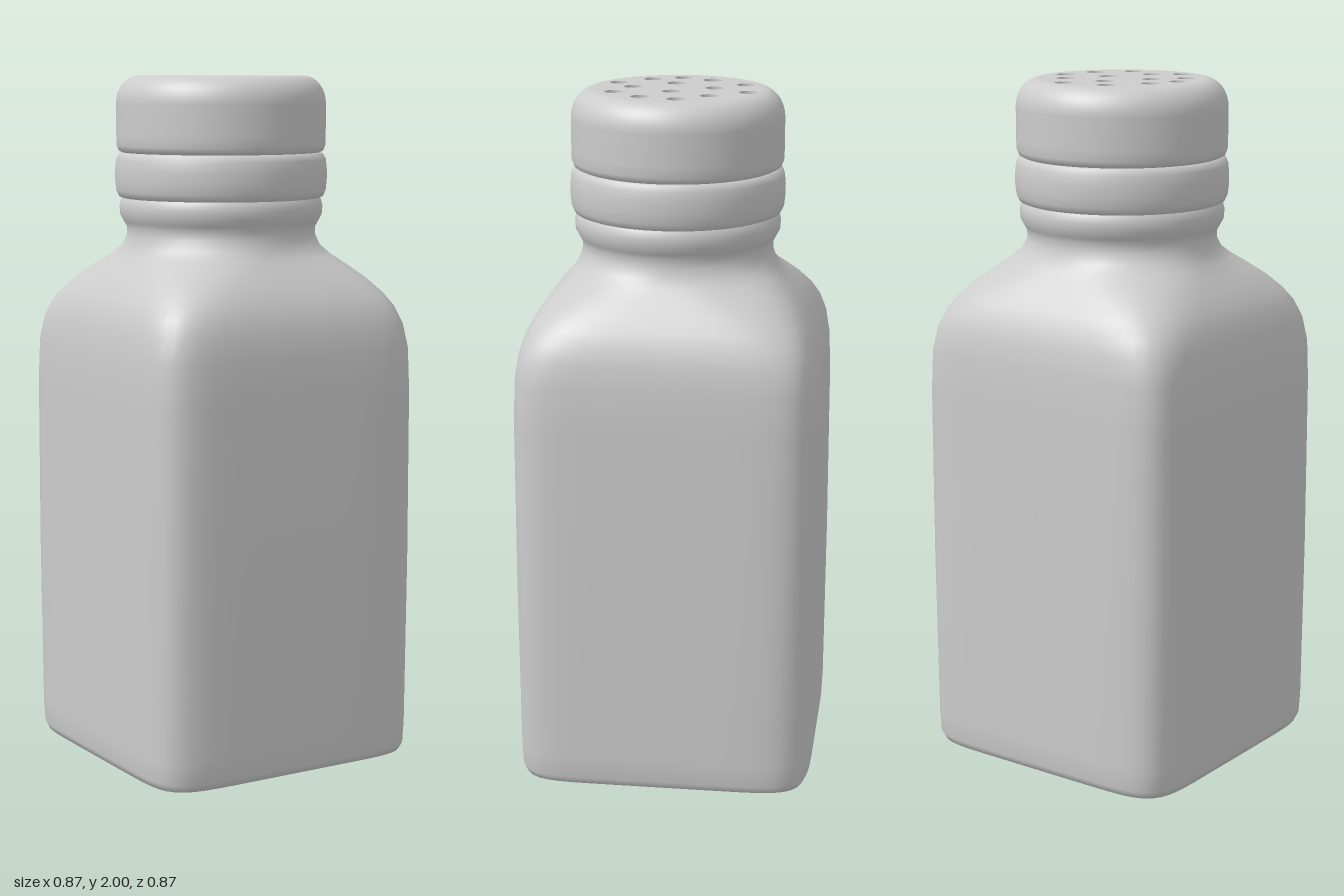
import * as THREE from 'three';

const material = new THREE.MeshStandardMaterial({ color: 0xcccccc });
const openMaterial = new THREE.MeshStandardMaterial({ color: 0xcccccc, side: THREE.DoubleSide });

function addMesh(parent, name, geometry, mat = material) {
  const mesh = new THREE.Mesh(geometry, mat);
  mesh.name = name;
  parent.add(mesh);
  return mesh;
}

// Loft of superellipse sections: [y, half width, exponent] (2 = circle, 8 = rounded square)
function loft(sections, sides = 128) {
  const positions = [];
  const indices = [];
  sections.forEach(([y, half, n], row) => {
    for (let i = 0; i < sides; i++) {
      const a = (i / sides) * Math.PI * 2;
      const c = Math.cos(a), s = Math.sin(a);
      const r = half / Math.pow(Math.abs(c) ** n + Math.abs(s) ** n, 1 / n);
      positions.push(r * c, y, r * s);
      if (row === 0) continue;
      const next = (i + 1) % sides;
      const lo = (row - 1) * sides, hi = row * sides;
      indices.push(lo + i, hi + i, lo + next, hi + i, hi + next, lo + next);
    }
  });
  const geometry = new THREE.BufferGeometry();
  geometry.setAttribute('position', new THREE.Float32BufferAttribute(positions, 3));
  geometry.setIndex(indices);
  geometry.computeVertexNormals();
  return geometry;
}

const lathe = (points, sides = 64) =>
  new THREE.LatheGeometry(points.map(([x, y]) => new THREE.Vector2(x, y)), sides);

export function createModel() {
  const model = new THREE.Group();
  model.name = 'shaker';

  // Square bottle blending into a round neck
  addMesh(model, 'bottle', loft([
    [0.005, 0.001, 8], [0.005, 0.36, 8], [0.006, 0.4, 8], [0.014, 0.42, 8], [0.035, 0.429, 8],
    [0.1, 0.432, 8], [0.6, 0.435, 8], [1.1, 0.434, 8], [1.22, 0.43, 8], [1.29, 0.42, 7.5],
    [1.34, 0.405, 6.5], [1.38, 0.384, 5.5], [1.42, 0.355, 4.4], [1.455, 0.325, 3.4],
    [1.485, 0.299, 2.6], [1.51, 0.285, 2.15], [1.54, 0.276, 2], [1.565, 0.276, 2],
    [1.58, 0.284, 2], [1.6, 0.295, 2], [1.625, 0.297, 2], [1.645, 0.292, 2], [1.66, 0.28, 2],
  ]));

  const cap = new THREE.Group();
  cap.name = 'cap';
  model.add(cap);

  // Lower collar of the cap
  addMesh(cap, 'collar', lathe([
    [0.26, 1.648], [0.285, 1.648], [0.298, 1.653], [0.306, 1.67], [0.309, 1.7],
    [0.309, 1.73], [0.306, 1.76], [0.298, 1.776], [0.285, 1.782], [0.26, 1.783],
  ]));

  // Upper part of the cap with a rounded shoulder
  const rim = [[0.26, 1.78], [0.288, 1.78], [0.298, 1.785], [0.304, 1.8], [0.305, 1.83], [0.305, 1.92]];
  for (let i = 1; i <= 8; i++) {
    const a = (i / 8) * Math.PI / 2;
    rim.push([0.24 + 0.065 * Math.cos(a), 1.92 + 0.08 * Math.sin(a)]);
  }
  addMesh(cap, 'lid', lathe(rim));

  // Perforated top plate: hole centres as [x, z]
  const holeRadius = 0.026;
  const holes = [
    [-0.08, -0.185], [0.053, -0.205], [-0.155, -0.08], [-0.013, -0.103], [0.125, -0.103],
    [0.19, -0.018], [-0.19, 0.008], [-0.09, 0.017], [0.06, 0.012], [-0.157, 0.094],
    [0.16, 0.087], [-0.012, 0.13], [-0.082, 0.182], [0.085, 0.172],
  ];
  const plate = new THREE.Shape().absarc(0, 0, 0.24, 0, Math.PI * 2);
  for (const [x, z] of holes) {
    plate.holes.push(new THREE.Path().absarc(x, -z, holeRadius, 0, Math.PI * 2, true));
  }
  addMesh(cap, 'topPlate', new THREE.ShapeGeometry(plate, 32).rotateX(-Math.PI / 2)).position.y = 2;

  // Recessed wall and floor of each hole
  const wall = new THREE.CylinderGeometry(holeRadius, holeRadius, 0.04, 24, 1, true);
  const floor = new THREE.CircleGeometry(holeRadius, 24).rotateX(-Math.PI / 2);
  for (const [x, z] of holes) {
    addMesh(cap, 'holeWall', wall, openMaterial).position.set(x, 1.98, z);
    addMesh(cap, 'holeFloor', floor).position.set(x, 1.96, z);
  }

  return model;
}
